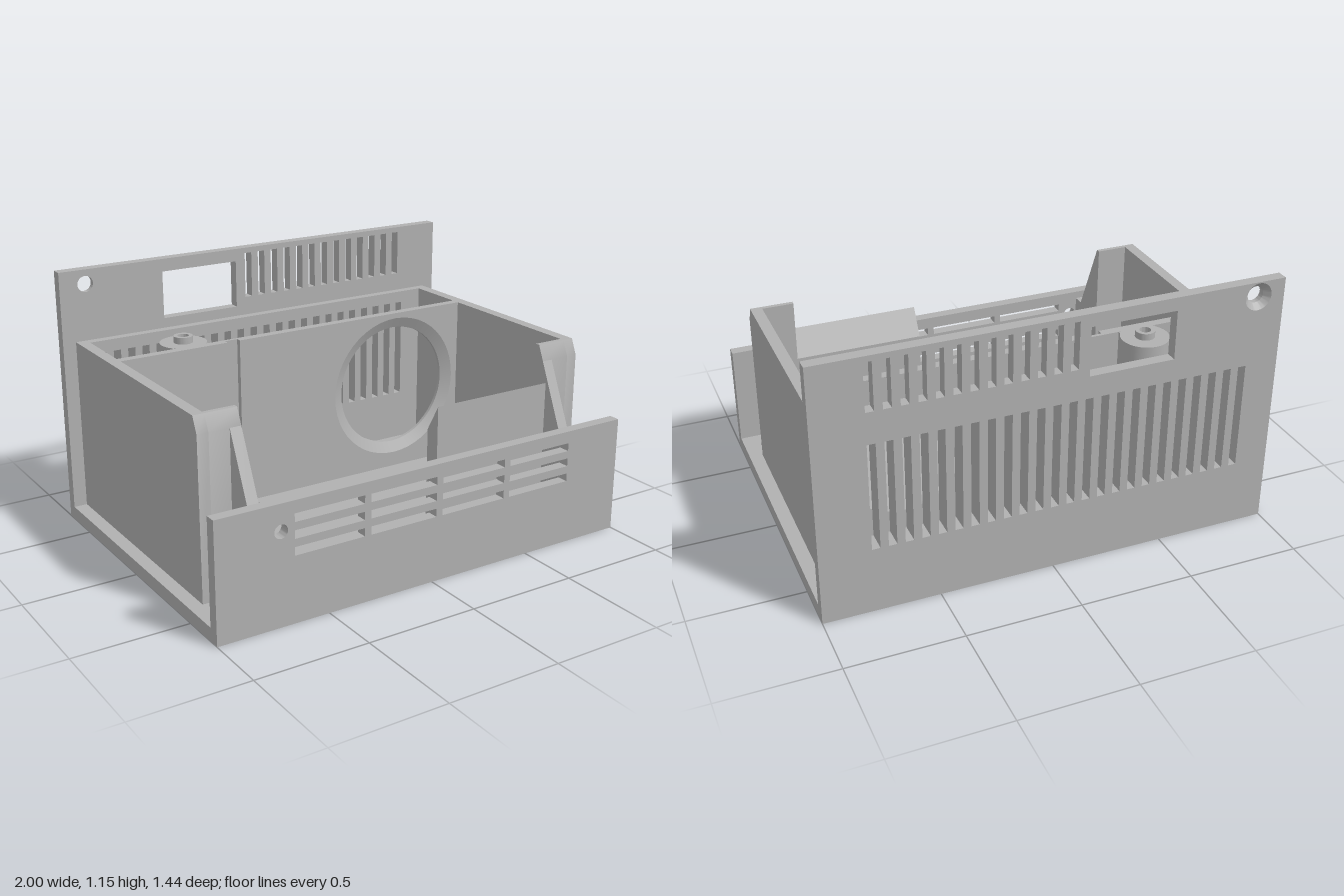
import * as THREE from 'three';
import { toCreasedNormals } from 'three/addons/utils/BufferGeometryUtils.js';

export function createModel() {
  const model = new THREE.Group();
  model.name = 'openEnclosure';
  const grey = new THREE.MeshStandardMaterial({ color: 0xb0b0b0 });
  grey.name = 'plain grey';

  const add = (name, geo) => {
    const m = new THREE.Mesh(geo, grey);
    m.name = name;
    model.add(m);
    return m;
  };
  const box = (name, x0, x1, y0, y1, z0, z1) =>
    add(name, new THREE.BoxGeometry(x1 - x0, y1 - y0, z1 - z0)
      .translate((x0 + x1) / 2, (y0 + y1) / 2, (z0 + z1) / 2));
  const poly = (pts) => new THREE.Shape(pts.map(([a, b]) => new THREE.Vector2(a, b)));
  const rect = (a0, a1, b0, b1) => poly([[a0, b0], [a1, b0], [a1, b1], [a0, b1]]);
  const circle = (a, b, r) => new THREE.Shape().absarc(a, b, r, 0, Math.PI * 2, false);
  const extrude = (shape, holes, depth) => {
    shape.holes = holes;
    return toCreasedNormals(new THREE.ExtrudeGeometry(shape,
      { depth, bevelEnabled: false, curveSegments: 24 }), 0.5);
  };
  // upright panel facing front, flat panel, and panel facing sideways
  const panel = (name, shape, holes, z0, z1) =>
    add(name, extrude(shape, holes, z1 - z0).translate(0, 0, z0));
  const flat = (name, shape, holes, y0, y1) =>
    add(name, extrude(shape, holes, y1 - y0).rotateX(Math.PI / 2).translate(0, y1, 0));
  const side = (name, pts, x0, x1) =>
    add(name, extrude(poly(pts), [], x1 - x0).rotateY(-Math.PI / 2).translate(x1, 0, 0));
  // conical seat lining a hole: R at y = 0 narrowing to r
  const seat = (name, R, r, t, mid) => {
    const pts = [[R, t], [r, t], [r, mid], [R, 0]].map(([a, b]) => new THREE.Vector2(a, b));
    return add(name, toCreasedNormals(new THREE.LatheGeometry(pts, 48), 0.4));
  };

  const H = 0.835, F = 0.06, R = 0.065, r = 0.036;

  // base with screw holes and a shallow wire channel
  const screws = () => [circle(-0.89, 0.58, R), circle(0.89, 0.58, R)];
  const channel = poly([[-0.38, -0.33], [-0.32, -0.33], [-0.32, -0.3],
    [-0.18, -0.2], [-0.24, -0.2], [-0.38, -0.295]]);
  flat('baseLower', rect(-1, 1, -0.67, 0.67), screws(), 0, 0.04);
  flat('baseUpper', rect(-1, 1, -0.67, 0.67), [...screws(), channel], 0.04, F);
  for (const s of [-1, 1]) seat('screwSeat', R, r, F, 0.03).position.set(s * 0.89, 0, 0.58);

  // front plate with four columns of three slots and a light hole
  const frontHoles = [circle(-0.715, 0.405, 0.03)];
  for (let c = 0; c < 4; c++) {
    for (let k = 0; k < 3; k++) {
      const x = -0.655 + c * 0.35, y = 0.29 + k * 0.07;
      frontHoles.push(rect(x, x + 0.32, y, y + 0.036));
    }
  }
  panel('frontPlate', rect(-1, 1, 0, 0.52), frontHoles, 0.67, 0.72);

  // back plate and the inner back wall share the lower vents
  const vents = (n, y0, y1) => Array.from({ length: n }, (_, i) => {
    const x = 0.747 - i * 0.0695;
    return rect(x, x + 0.035, y0, y1);
  });
  const lower = () => vents(24, 0.3, 0.78);
  panel('backPlate', rect(-1, 1, 0, 1.155), [...lower(), ...vents(13, 0.92, 1.13),
    rect(-0.51, -0.135, 0.88, 1.097), circle(-0.88, 1.09, 0.06)], -0.72, -0.67);
  const backSeat = seat('backScrewSeat', 0.06, r, 0.05, 0.025);
  backSeat.rotation.x = Math.PI / 2;
  backSeat.position.set(-0.88, 1.09, -0.72);
  panel('innerBackWall', rect(-0.89, 0.89, F, H), lower(), -0.67, -0.63);

  // side walls with the stepped, sloping front corners
  const yMid = 0.767;
  const mirrored = (name, pts, x0, x1) => {
    side(name, pts, x0, x1);
    side(name, pts, -x1, -x0);
  };
  mirrored('sideWall', [[-0.67, F], [0.49, F], [0.49, yMid], [0.46, H], [-0.67, H]], 0.89, 0.94);
  mirrored('cornerReturn', [[0.44, F], [0.49, F], [0.49, yMid], [0.46, H], [0.44, H]], 0.75, 0.89);
  mirrored('cornerFin', [[0.49, F], [0.67, F], [0.67, 0.485], [0.615, 0.485], [0.49, yMid]], 0.75, 0.80);

  // divider with a fan opening and a vertical wire groove
  const fan = () => [circle(0.52, 0.47, 0.34)];
  panel('dividerBack', rect(-0.89, 0.89, F, H), fan(), -0.345, -0.33);
  panel('dividerFront', rect(-0.32, 0.89, F, H), fan(), -0.33, -0.305);
  box('dividerFrontRight', -0.89, -0.38, F, H, -0.33, -0.305);
  const fanSeat = seat('fanOpening', 0.34, 0.29, 0.04, 0.025);
  fanSeat.rotation.x = -Math.PI / 2;
  fanSeat.position.set(0.52, 0.47, -0.305);

  // boss behind the divider, with a hollow pin
  add('boss', new THREE.CylinderGeometry(0.105, 0.105, H - F, 48).translate(-0.54, (H + F) / 2, -0.42));
  box('bossWeb', -0.625, -0.455, F, H - 0.001, -0.42, -0.345);
  const pin = circle(-0.54, -0.42, 0.0425);
  flat('pin', pin, [circle(-0.54, -0.42, 0.025)], H, 0.865);

  // sloped bracket behind the front plate
  side('bracket', [[0.445, F], [0.515, F], [0.515, 0.675], [0.445, 0.555]], 0.165, 0.75);

  // small board posts
  box('post', -0.75, -0.71, F, 0.2, -0.215, -0.165);
  box('post', -0.79, -0.74, F, 0.2, 0.425, 0.475);

  return model;
}
